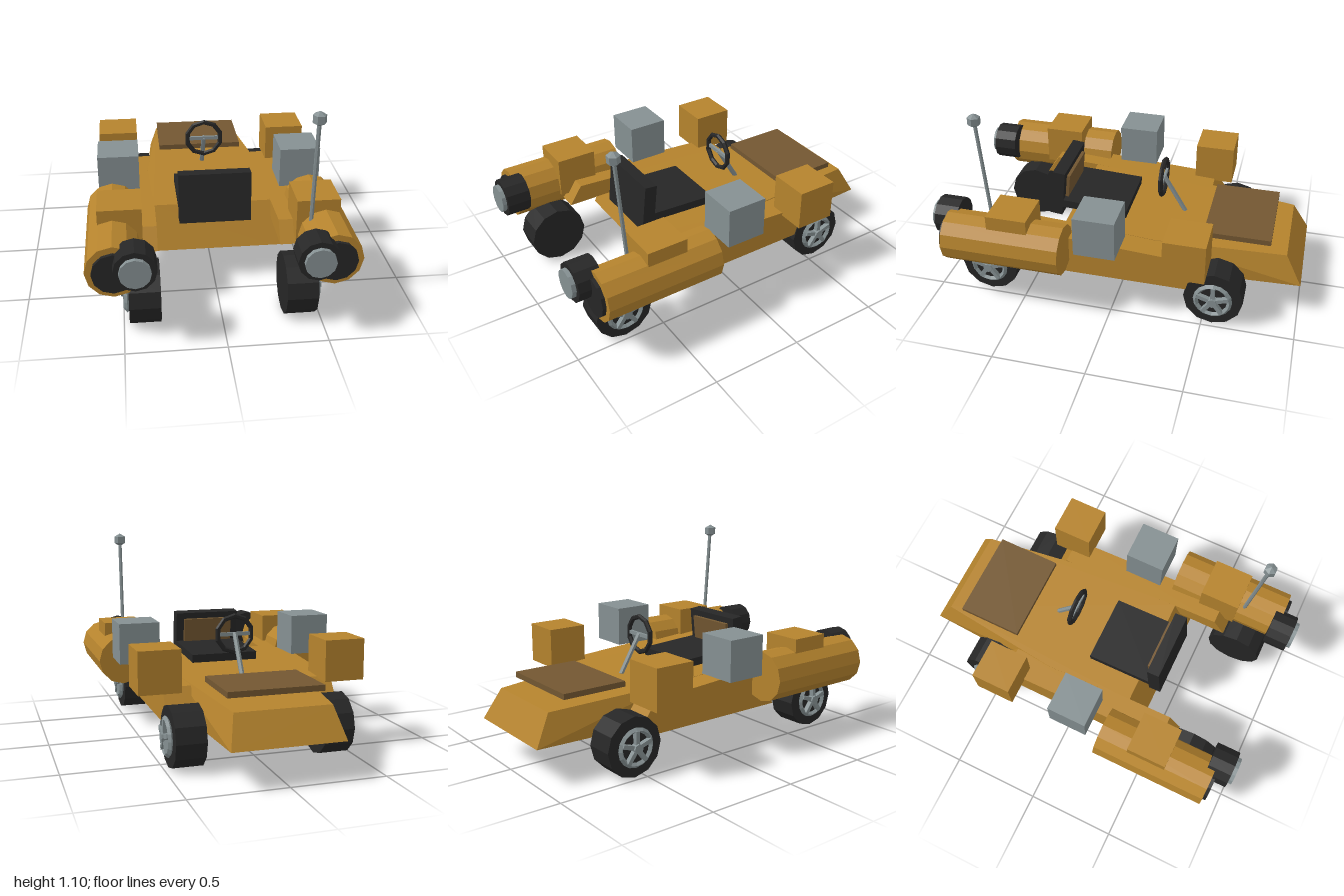
import * as THREE from 'three';
import { ConvexGeometry } from 'three/addons/geometries/ConvexGeometry.js';

const paint = (name, color) => {
  const m = new THREE.MeshStandardMaterial({ color, flatShading: true });
  m.name = name;
  return m;
};

export function createModel() {
  const model = new THREE.Group();
  model.name = 'buggy';
  const ochre = paint('ochre', 0xb5832d);
  const black = paint('black', 0x262626);
  const grey = paint('grey', 0x859092);
  const brown = paint('brown', 0x735731);

  const add = (name, geo, mat, x = 0, y = 0, z = 0, parent = model) => {
    const mesh = new THREE.Mesh(geo, mat);
    mesh.name = name;
    mesh.position.set(x, y, z);
    parent.add(mesh);
    return mesh;
  };
  const box = (w, h, d) => new THREE.BoxGeometry(w, h, d);
  const discX = (r, len, n) => new THREE.CylinderGeometry(r, r, len, n).rotateZ(Math.PI / 2);
  const discZ = (r, len, n) => new THREE.CylinderGeometry(r, r, len, n).rotateX(Math.PI / 2);
  // Rod between two points
  const rod = (name, a, b, r, n, mat) => {
    const dir = b.clone().sub(a);
    const mid = a.clone().add(b).multiplyScalar(0.5);
    const m = add(name, new THREE.CylinderGeometry(r, r, dir.length(), n), mat, mid.x, mid.y, mid.z);
    m.quaternion.setFromUnitVectors(new THREE.Vector3(0, 1, 0), dir.normalize());
  };

  // Hull: tapered wedge, [z, y, half width]
  const hull = [
    [-1, 0.195, 0.29], [-0.91, 0.355, 0.25],
    [-0.2, 0.195, 0.33], [-0.2, 0.393, 0.335],
    [0.4, 0.195, 0.315], [0.3, 0.42, 0.32],
  ].flatMap(([z, y, w]) => [new THREE.Vector3(w, y, z), new THREE.Vector3(-w, y, z)]);
  add('hull', new ConvexGeometry(hull), ochre);
  add('hoodPanel', box(0.5, 0.03, 0.365), brown, 0, 0.415, -0.638);

  // Side sponson profile (z, y) with an arm reaching over the wheel
  const profile = new THREE.Shape([
    [-0.54, 0.195], [0.4, 0.195], [0.34, 0.33], [0.62, 0.33], [0.55, 0.436], [-0.42, 0.377],
  ].map(([z, y]) => new THREE.Vector2(z, y)));
  const sponson = new THREE.ExtrudeGeometry(profile, { depth: 0.15, bevelEnabled: false });
  sponson.rotateY(-Math.PI / 2);

  for (const s of [1, -1]) {
    const side = s > 0 ? 'left' : 'right';
    add(side + 'Sponson', sponson, ochre, s > 0 ? 0.465 : -0.315);

    // Booster with nozzle and lamp
    add(side + 'Booster', discZ(0.138, 0.65, 12), ochre, s * 0.537, 0.395, 0.565);
    add(side + 'Nozzle', discZ(0.106, 0.06, 12), black, s * 0.537, 0.395, 0.88);
    add(side + 'LampHousing', discZ(0.105, 0.13, 12), black, s * 0.435, 0.445, 0.912);
    add(side + 'Lamp', discZ(0.077, 0.06, 12), grey, s * 0.435, 0.445, 0.97);

    // Cargo cubes
    const cube = box(0.222, 0.222, 0.222);
    add(side + 'BoosterCrate', cube, ochre, s * 0.5, 0.477, 0.53);
    add(side + 'MiddleCrate', cube, grey, s * 0.5, 0.542, 0.056);
    add(side + 'NoseCrate', cube, ochre, s * 0.5, 0.478, -0.412);

    // Wheels with five-spoke rims
    for (const z of [0.71, -0.555]) {
      const wheel = new THREE.Group();
      wheel.name = side + 'Wheel';
      wheel.position.set(s * 0.392, 0.16, z);
      model.add(wheel);
      add('tyre', discX(0.16, 0.158, 12), black, 0, 0, 0, wheel);
      const rim = new THREE.TorusGeometry(0.092, 0.014, 4, 16).rotateY(Math.PI / 2);
      add('rim', rim, grey, s * 0.088, 0, 0, wheel);
      add('hub', discX(0.026, 0.04, 8), grey, s * 0.097, 0, 0, wheel);
      for (let i = 0; i < 5; i++) {
        const spoke = box(0.026, 0.085, 0.022).translate(0, 0.047, 0);
        add('spoke', spoke, grey, s * 0.094, 0, 0, wheel).rotation.x = (i * 2 * Math.PI) / 5;
      }
    }
  }

  // Seat
  add('seatCushion', box(0.38, 0.045, 0.38), black, 0, 0.438, 0.18).rotation.x = -0.05;
  const back = new THREE.Group();
  back.name = 'seatBack';
  back.position.set(0, 0.508, 0.387);
  back.rotation.x = -0.1;
  model.add(back);
  add('backrest', box(0.38, 0.27, 0.07), black, 0, 0, 0, back);
  add('backrestPanel', box(0.29, 0.17, 0.02), brown, 0, 0.015, -0.043, back);

  // Steering wheel and column
  add('steeringWheel', new THREE.TorusGeometry(0.1, 0.014, 6, 10), black, 0, 0.59, -0.182)
    .rotation.z = Math.PI / 10;
  add('steeringSpoke', box(0.18, 0.02, 0.014), grey, 0, 0.59, -0.184);
  rod('steeringColumn', new THREE.Vector3(0, 0.595, -0.185), new THREE.Vector3(0, 0.385, -0.31), 0.014, 6, grey);

  // Antenna
  rod('antenna', new THREE.Vector3(0.455, 0.48, 0.672), new THREE.Vector3(0.455, 1.06, 0.715), 0.011, 6, grey);
  add('antennaTip', new THREE.SphereGeometry(0.039, 6, 3), grey, 0.455, 1.064, 0.716);

  return model;
}
